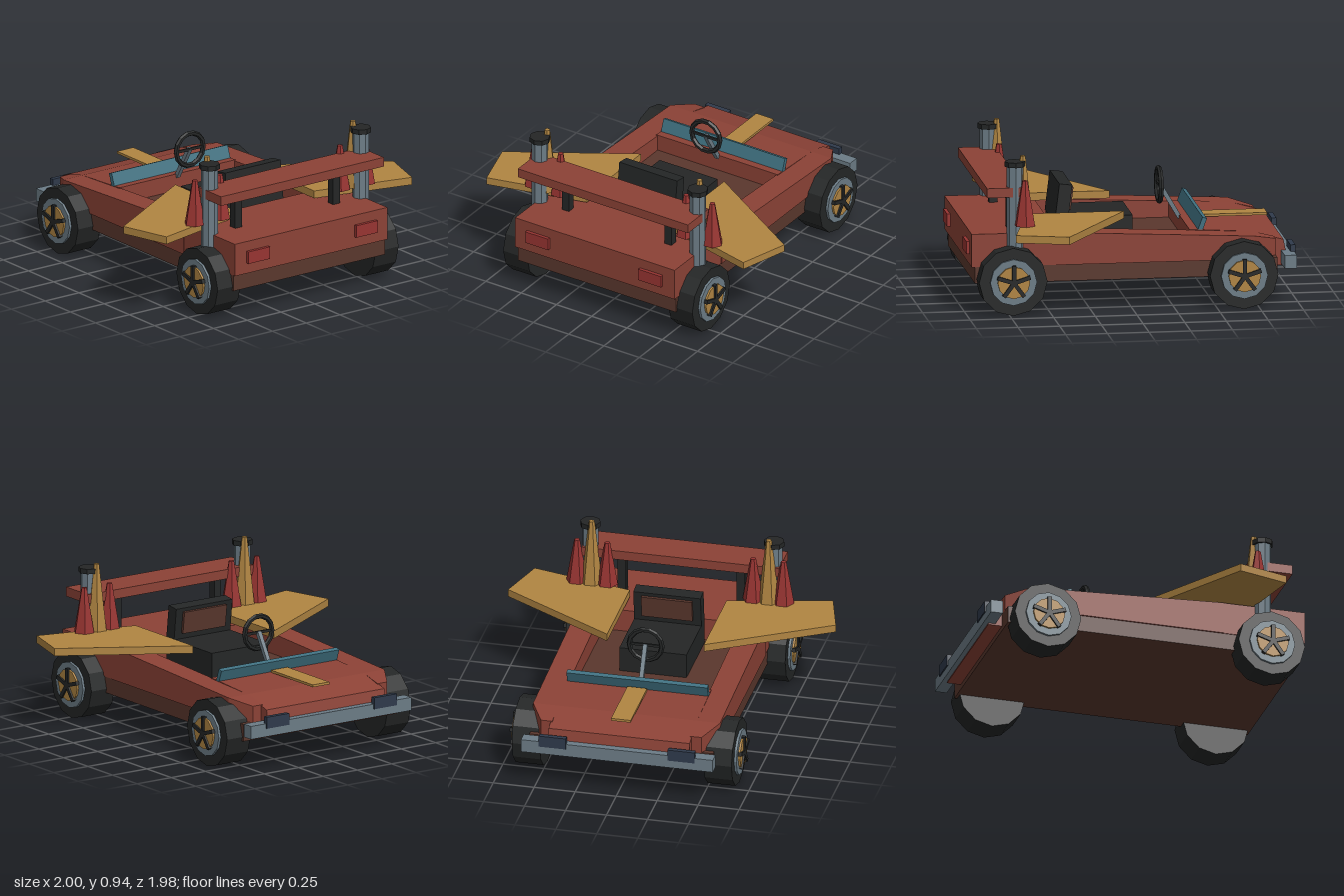
import * as THREE from 'three';
import { ConvexGeometry } from 'three/addons/geometries/ConvexGeometry.js';

const mat = (name, color) => {
  const m = new THREE.MeshStandardMaterial({ color });
  m.name = name;
  return m;
};

export function createModel() {
  const red = mat('brick red', 0x8c4236), brown = mat('dark brown', 0x5a372d);
  const gold = mat('gold', 0xb08542), grey = mat('steel grey', 0x6c7c86);
  const black = mat('black', 0x242626), teal = mat('teal', 0x3f7080);
  const signal = mat('signal red', 0x983431), navy = mat('navy', 0x2f3a4b);
  const model = new THREE.Group();
  model.name = 'buggy';

  const add = (name, geo, material, x = 0, y = 0, z = 0, parent = model) => {
    const g = geo.index ? geo.toNonIndexed() : geo;
    g.computeVertexNormals(); // faceted look
    const mesh = new THREE.Mesh(g, material);
    mesh.name = name;
    mesh.position.set(x, y, z);
    parent.add(mesh);
    return mesh;
  };
  // box given by its limits
  const box = (name, material, x0, x1, y0, y1, z0, z1, parent) =>
    add(name, new THREE.BoxGeometry(x1 - x0, y1 - y0, z1 - z0), material,
      (x0 + x1) / 2, (y0 + y1) / 2, (z0 + z1) / 2, parent);
  const cyl = (rTop, rBottom, h, sides) => new THREE.CylinderGeometry(rTop, rBottom, h, sides);
  // side outline of [z, y] points, extruded across x
  const profile = (points, width) => {
    const shape = new THREE.Shape(points.map(p => new THREE.Vector2(...p)));
    return new THREE.ExtrudeGeometry(shape, { depth: width, bevelEnabled: false })
      .rotateY(-Math.PI / 2).translate(width / 2, 0, 0);
  };

  // Lower tub and cockpit floor
  box('lowerBody', brown, -0.56, 0.56, 0.18, 0.285, -0.87, 0.945);
  box('cockpitFloor', brown, -0.43, 0.43, 0.28, 0.34, -0.37, 0.46);

  // Hood and rear deck
  add('hood', profile([[-0.36, 0.28], [-0.36, 0.443], [-0.73, 0.42], [-0.925, 0.365],
    [-0.955, 0.21], [-0.87, 0.21], [-0.86, 0.28]], 0.86), red);
  add('rearDeck', profile([[0.45, 0.28], [0.965, 0.28], [0.965, 0.48], [0.45, 0.478]], 1.13), red);
  box('hoodStripe', gold, -0.06, 0.06, 0.438, 0.453, -0.88, -0.455);

  for (const s of [-1, 1]) {
    // Side rail with tapered nose
    add('sideRail', profile([[-0.73, 0.28], [0.46, 0.28], [0.46, 0.477], [-0.73, 0.42]], 0.15),
      red, s * 0.495);
    const nose = [];
    for (const [z, outer, top] of [[-0.73, 0.57, 0.42], [-0.87, 0.49, 0.385]])
      for (const x of [0.42, outer])
        for (const y of [0.28, top]) nose.push(new THREE.Vector3(s * x, y, z));
    add('railNose', new ConvexGeometry(nose), red);

    // Lamps
    const across = (name, m, a, b, ...rest) =>
      box(name, m, Math.min(s * a, s * b), Math.max(s * a, s * b), ...rest);
    across('tailLight', signal, 0.32, 0.48, 0.345, 0.42, 0.95, 0.985);
    across('headLight', navy, 0.31, 0.475, 0.27, 0.34, -0.99, -0.96);

    // Wing plate
    const wing = [[0.295, 0.013], [1, 0.44], [0.91, 0.748], [0.295, 0.6]];
    add('wing', new ConvexGeometry(wing.flatMap(([x, z]) =>
      [0.492, 0.538].map(y => new THREE.Vector3(s * x, y, z)))), gold);

    // Stack with cap
    add('stack', cyl(0.05, 0.05, 0.58, 8), grey, s * 0.56, 0.6, 0.706);
    add('stackCap', cyl(0.062, 0.062, 0.03, 8), black, s * 0.56, 0.9, 0.706);

    // Spikes standing on the wing
    for (const [x, top, m] of [[0.63, 0.81, signal], [0.54, 0.943, gold], [0.445, 0.81, signal]]) {
      const h = top - 0.538;
      add('spike', cyl(0.017, 0.065, h, 6).rotateY(Math.PI / 6), m, s * x, 0.538 + h / 2, 0.655);
    }
    across('spoilerPost', black, 0.338, 0.388, 0.47, 0.71, 0.68, 0.73);

    // Wheels
    for (const z of [-0.655, 0.73]) {
      const wheel = new THREE.Group();
      wheel.name = 'wheel';
      wheel.position.set(s * 0.585, 0.205, z);
      wheel.rotation.y = s > 0 ? 0 : Math.PI;
      model.add(wheel);
      const disc = (name, r, x0, x1, m) =>
        add(name, cyl(r, r, x1 - x0, 12).rotateZ(Math.PI / 2), m, (x0 + x1) / 2, 0, 0, wheel);
      disc('tyre', 0.205, -0.085, 0.085, black);
      disc('rim', 0.14, 0.05, 0.1, grey);
      disc('hubPlate', 0.097, 0.06, 0.112, gold);
      for (let i = 0; i < 5; i++) {
        const spoke = new THREE.BoxGeometry(0.03, 0.103, 0.024)
          .translate(0.108, 0.0515, 0).rotateX(i * Math.PI * 2 / 5);
        add('spoke', spoke, black, 0, 0, 0, wheel);
      }
    }
  }

  // Spoiler and front bumper
  box('spoiler', red, -0.603, 0.603, 0.705, 0.762, 0.652, 0.878);
  box('frontBumper', grey, -0.585, 0.585, 0.22, 0.3, -0.983, -0.91);

  // Low windscreen, leaning forward
  add('windscreen', new THREE.BoxGeometry(0.86, 0.085, 0.028), teal, 0, 0.47, -0.438).rotation.x = -0.35;

  // Seat
  box('seatCushion', black, -0.205, 0.205, 0.34, 0.492, -0.053, 0.41);
  add('seatBack', new THREE.BoxGeometry(0.41, 0.24, 0.078), black, 0, 0.57, 0.362).rotation.x = -0.12;
  add('seatPad', new THREE.BoxGeometry(0.31, 0.135, 0.02), brown, 0, 0.595, 0.313).rotation.x = -0.12;

  // Steering wheel and column
  add('steeringWheel', new THREE.TorusGeometry(0.1, 0.016, 6, 14), black, 0, 0.63, -0.24);
  box('steeringBar', black, -0.1, 0.1, 0.622, 0.638, -0.246, -0.234);
  add('steeringColumn', new THREE.BoxGeometry(0.026, 0.24, 0.026), grey, 0, 0.53, -0.303)
    .rotation.x = 0.53;

  return model;
}
